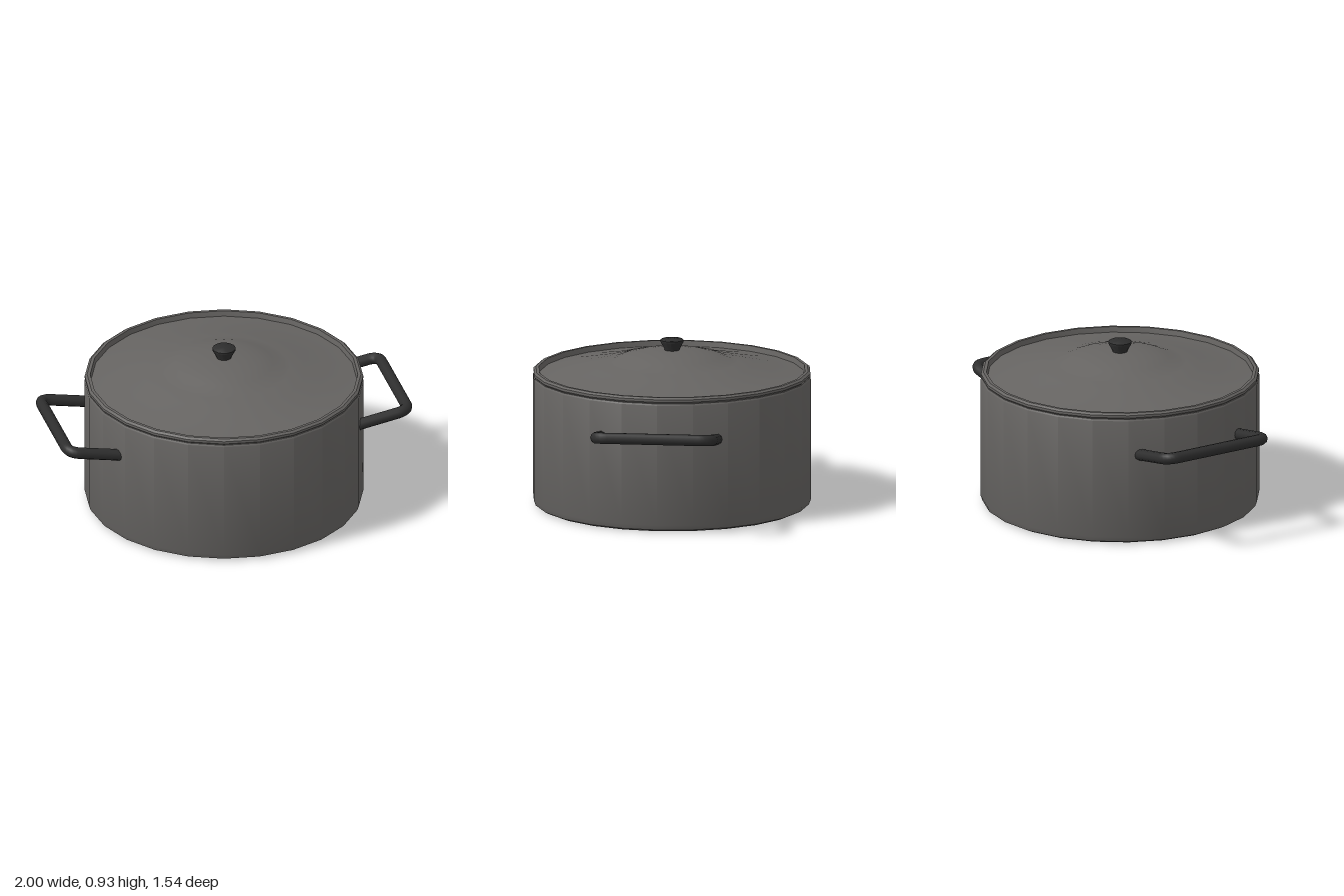
import * as THREE from 'three';
import { toCreasedNormals } from 'three/addons/utils/BufferGeometryUtils.js';

const SIDES = 24;

// Turned part from [radius, height] pairs, listed counter-clockwise from the bottom
function turned(name, profile, sides, material) {
  const points = profile.map(([r, y]) => new THREE.Vector2(r, y));
  const geometry = toCreasedNormals(new THREE.LatheGeometry(points, sides), 0.6);
  const mesh = new THREE.Mesh(geometry, material);
  mesh.name = name;
  return mesh;
}

// Bent bar: two arms, two rounded corners and a grip
function sideHandle(name, material) {
  const group = new THREE.Group();
  group.name = name;
  const at = (x, z) => new THREE.Vector3(x, 0.515 + (x - 0.68) * 0.185, z);
  const inner = 0.675, outer = 0.969, half = 0.322, bend = 0.065, radius = 0.032;
  const path = new THREE.CurvePath();
  path.add(new THREE.LineCurve3(at(inner, half), at(outer - bend, half)));
  path.add(new THREE.QuadraticBezierCurve3(at(outer - bend, half), at(outer, half), at(outer, half - bend)));
  path.add(new THREE.LineCurve3(at(outer, half - bend), at(outer, bend - half)));
  path.add(new THREE.QuadraticBezierCurve3(at(outer, bend - half), at(outer, -half), at(outer - bend, -half)));
  path.add(new THREE.LineCurve3(at(outer - bend, -half), at(inner, -half)));
  const bar = new THREE.Mesh(new THREE.TubeGeometry(path, 80, radius, 10), material);
  bar.name = 'handleBar';
  group.add(bar);

  // Closed arm ends
  for (const side of [1, -1]) {
    const cap = new THREE.Mesh(new THREE.CircleGeometry(radius, 10), material);
    cap.name = 'handleEnd';
    cap.position.copy(at(inner, side * half));
    cap.rotation.set(0, -Math.PI / 2, 0);
    group.add(cap);
  }
  return group;
}

export function createModel() {
  const metal = new THREE.MeshStandardMaterial({ color: 0x666462 });
  metal.name = 'warm grey metal';
  const dark = new THREE.MeshStandardMaterial({ color: 0x2e2e2e });
  dark.name = 'dark grey grip';

  const model = new THREE.Group();
  model.name = 'cookingPot';

  // Hollow pot with rounded base and lip
  model.add(turned('potBody', [
    [0, 0], [0.735, 0], [0.76, 0.012], [0.77, 0.04], [0.77, 0.715],
    [0.764, 0.724], [0.735, 0.724], [0.73, 0.71], [0.73, 0.04], [0, 0.03],
  ], SIDES, metal));

  // Domed lid with raised rim and stepped centre
  model.add(turned('lid', [
    [0, 0.84], [0.33, 0.785], [0.725, 0.715], [0.758, 0.724], [0.768, 0.734],
    [0.768, 0.748], [0.755, 0.758], [0.738, 0.758], [0.732, 0.728],
    [0.64, 0.742], [0.55, 0.761], [0.45, 0.783], [0.365, 0.803], [0.335, 0.807],
    [0.27, 0.832], [0.2, 0.849], [0.13, 0.86], [0.06, 0.865], [0, 0.866],
  ], SIDES, metal));

  // Flared lid knob
  model.add(turned('lidKnob', [
    [0, 0.855], [0.04, 0.855], [0.041, 0.868], [0.064, 0.912],
    [0.064, 0.922], [0.058, 0.926], [0, 0.926],
  ], 16, dark));

  // Pair of side handles
  const left = sideHandle('leftHandle', dark);
  const right = sideHandle('rightHandle', dark);
  right.rotation.y = Math.PI;
  model.add(left, right);

  return model;
}
